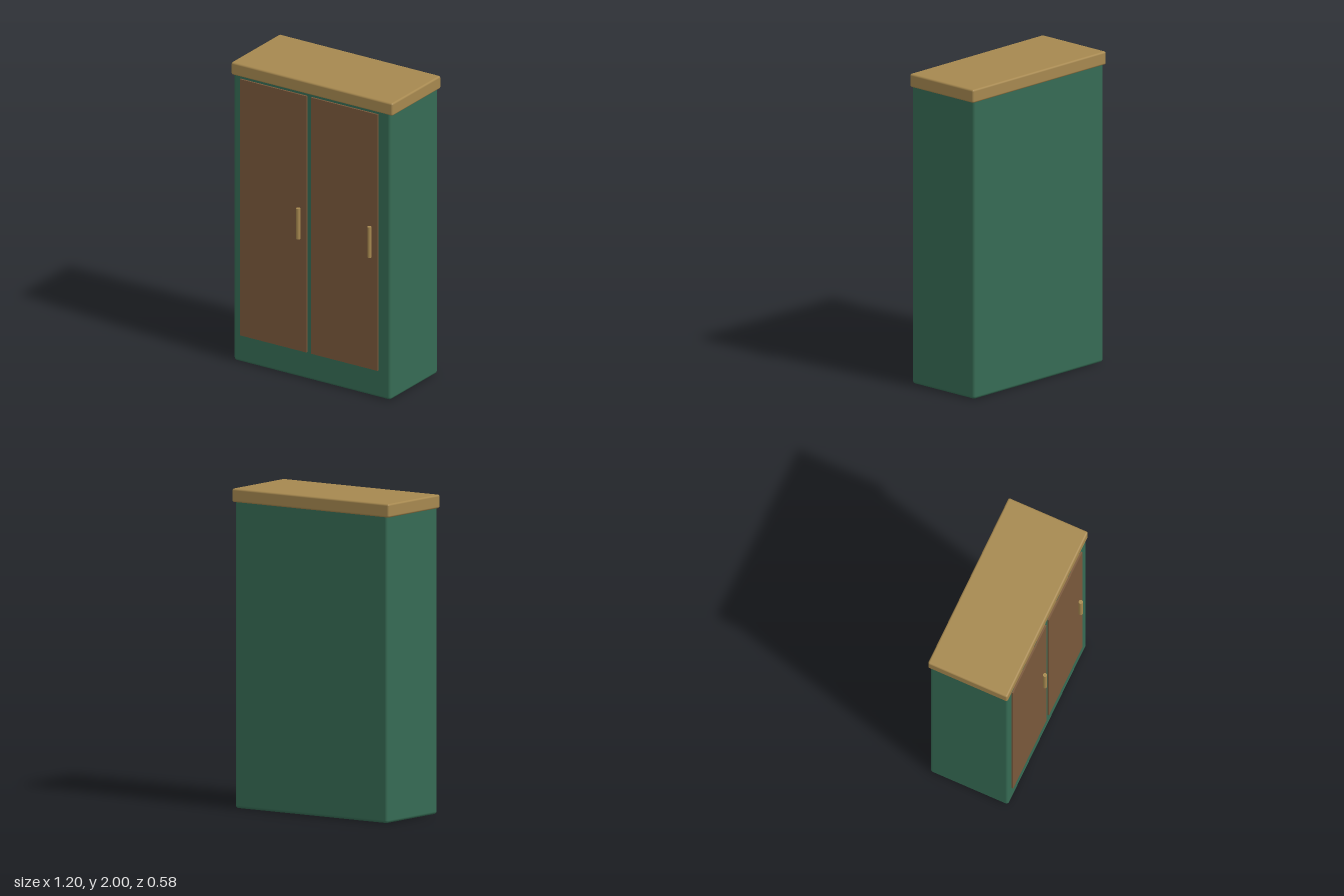
import * as THREE from 'three';
import { RoundedBoxGeometry } from 'three/addons/geometries/RoundedBoxGeometry.js';

const material = (name, color) => {
  const m = new THREE.MeshStandardMaterial({ color });
  m.name = name;
  return m;
};

export function createModel() {
  const green = material('green paint', 0x366b54);
  const brown = material('brown wood', 0x7a583b);
  const tan = material('tan wood', 0xa6884f);

  const group = new THREE.Group();
  group.name = 'wardrobe';
  const add = (name, geometry, mat, x, y, z) => {
    const mesh = new THREE.Mesh(geometry, mat);
    mesh.name = name;
    mesh.position.set(x, y, z);
    group.add(mesh);
  };

  // Cabinet body and overhanging top, both with softened edges
  add('body', new RoundedBoxGeometry(1.165, 1.95, 0.53, 3, 0.018), green, 0, 0.98, -0.015);
  add('top', new RoundedBoxGeometry(1.2, 0.085, 0.541, 3, 0.012), tan, 0, 1.9575, -0.0175);

  // Two slightly offset doors, each with an upright round handle near its left edge
  const door = new THREE.BoxGeometry(0.494, 1.718, 0.02);
  const handle = new THREE.CylinderGeometry(0.0135, 0.0135, 0.204, 16);
  [['right', -0.282], ['left', 0.247]].forEach(([side, x]) => {
    add(side + 'Door', door, brown, x, 1.046, 0.251);
    add(side + 'Handle', handle, tan, x + 0.196, 1.045, 0.274);
  });

  return group;
}
